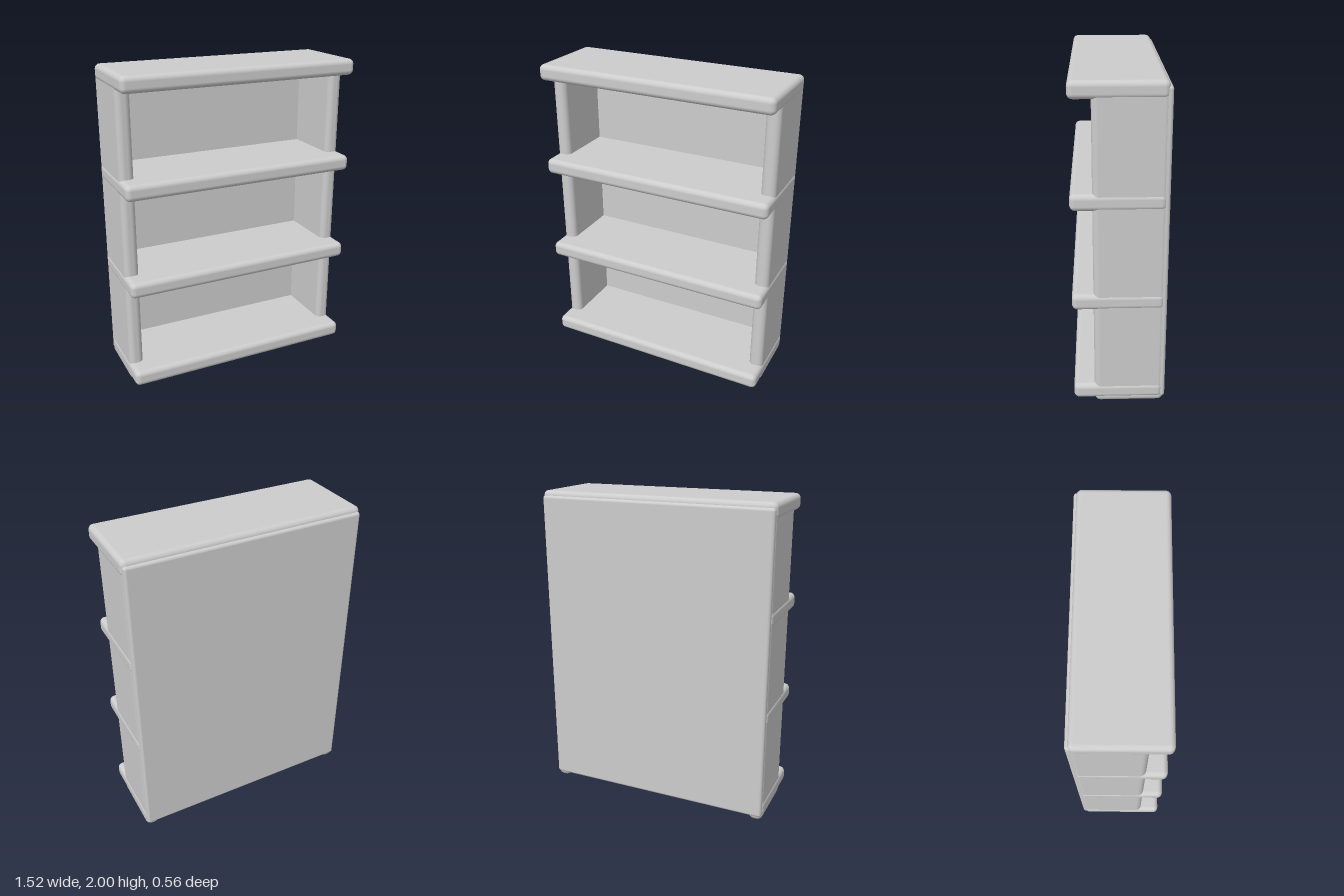
import * as THREE from 'three';
import { RoundedBoxGeometry } from 'three/addons/geometries/RoundedBoxGeometry.js';

export function createModel() {
  const group = new THREE.Group();
  const grey = new THREE.MeshStandardMaterial({ color: 0xcccccc });
  grey.name = 'plain grey';

  // Rounded board given by its lower and upper corners
  function board(name, min, max, radius) {
    const size = max.map((v, i) => v - min[i]);
    const mesh = new THREE.Mesh(new RoundedBoxGeometry(...size, 5, radius), grey);
    mesh.position.set(...max.map((v, i) => (v + min[i]) / 2));
    mesh.name = name;
    group.add(mesh);
  }

  // Four shelves, overhanging at the front and just proud of the sides
  for (let i = 0; i < 4; i++) {
    const y = 0.03 + i * 0.624;
    board(i === 3 ? 'topBoard' : 'shelf' + (i + 1), [-0.76, y, -0.262], [0.76, y + 0.1, 0.278], 0.032);
  }

  // Upright sides, their lower ends forming the feet
  board('leftSide', [0.665, 0, -0.27], [0.755, 1.97, 0.152], 0.036);
  board('rightSide', [-0.755, 0, -0.27], [-0.665, 1.97, 0.152], 0.036);

  // Back panel
  board('backPanel', [-0.752, 0.03, -0.278], [0.752, 1.972, -0.23], 0.018);

  return group;
}
